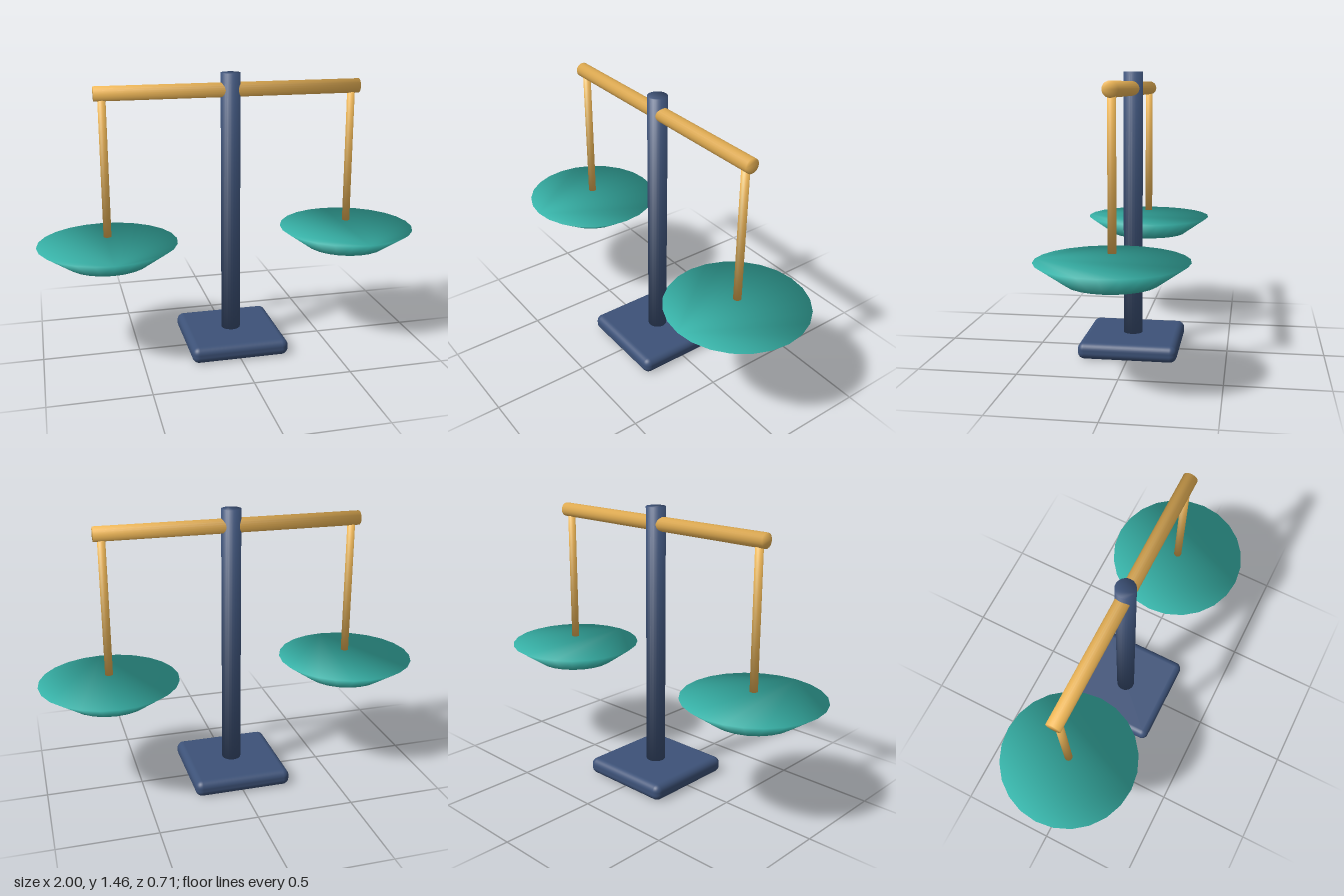
import * as THREE from 'three';
import { RoundedBoxGeometry } from 'three/addons/geometries/RoundedBoxGeometry.js';

const navy = new THREE.MeshStandardMaterial({ color: 0x3d5278 });
const gold = new THREE.MeshStandardMaterial({ color: 0xf0b858 });
const teal = new THREE.MeshStandardMaterial({ color: 0x3cbfb4 });

// Closed frustum centred on the origin, with shading blended softly over its rims.
function softFrustum(topRadius, bottomRadius, height, sides = 24) {
  const positions = [], normals = [], index = [];
  const slant = new THREE.Vector2(height, bottomRadius - topRadius).normalize();
  for (const [radius, sign] of [[bottomRadius, -1], [topRadius, 1]]) {
    const blend = new THREE.Vector2(slant.x, slant.y + sign).normalize();
    for (let i = 0; i < sides; i++) {
      const a = (i / sides) * Math.PI * 2;
      positions.push(radius * Math.sin(a), sign * height / 2, radius * Math.cos(a));
      normals.push(blend.x * Math.sin(a), blend.y, blend.x * Math.cos(a));
    }
  }
  for (let i = 0; i < sides; i++) {
    const j = (i + 1) % sides;
    index.push(i, j, sides + j, i, sides + j, sides + i); // wall
    if (i > 0 && j > 0) index.push(0, j, i, sides, sides + i, sides + j); // ends
  }
  const geometry = new THREE.BufferGeometry();
  geometry.setAttribute('position', new THREE.Float32BufferAttribute(positions, 3));
  geometry.setAttribute('normal', new THREE.Float32BufferAttribute(normals, 3));
  geometry.setIndex(index);
  return geometry;
}

export function createModel() {
  const model = new THREE.Group();
  model.name = 'balanceScale';

  const add = (name, geometry, material, x, y) => {
    const mesh = new THREE.Mesh(geometry, material);
    mesh.name = name;
    mesh.position.set(x, y, 0);
    model.add(mesh);
    return mesh;
  };

  // Stand
  add('base', new RoundedBoxGeometry(0.51, 0.086, 0.51, 4, 0.036), navy, 0, 0.043);
  add('post', softFrustum(0.05, 0.05, 1.395), navy, 0, 0.7575);

  // Crossbeam
  add('beam', softFrustum(0.037, 0.037, 1.365), gold, 0, 1.37).rotation.z = Math.PI / 2;

  // Hanging rods and pans, mirrored about the post
  const rod = softFrustum(0.02, 0.02, 0.7);
  const pan = softFrustum(0.357, 0.214, 0.1);
  for (const [side, s] of [['left', 1], ['right', -1]]) {
    add(side + 'Rod', rod, gold, s * 0.643, 0.995);
    add(side + 'Pan', pan, teal, s * 0.643, 0.56);
  }
  return model;
}
